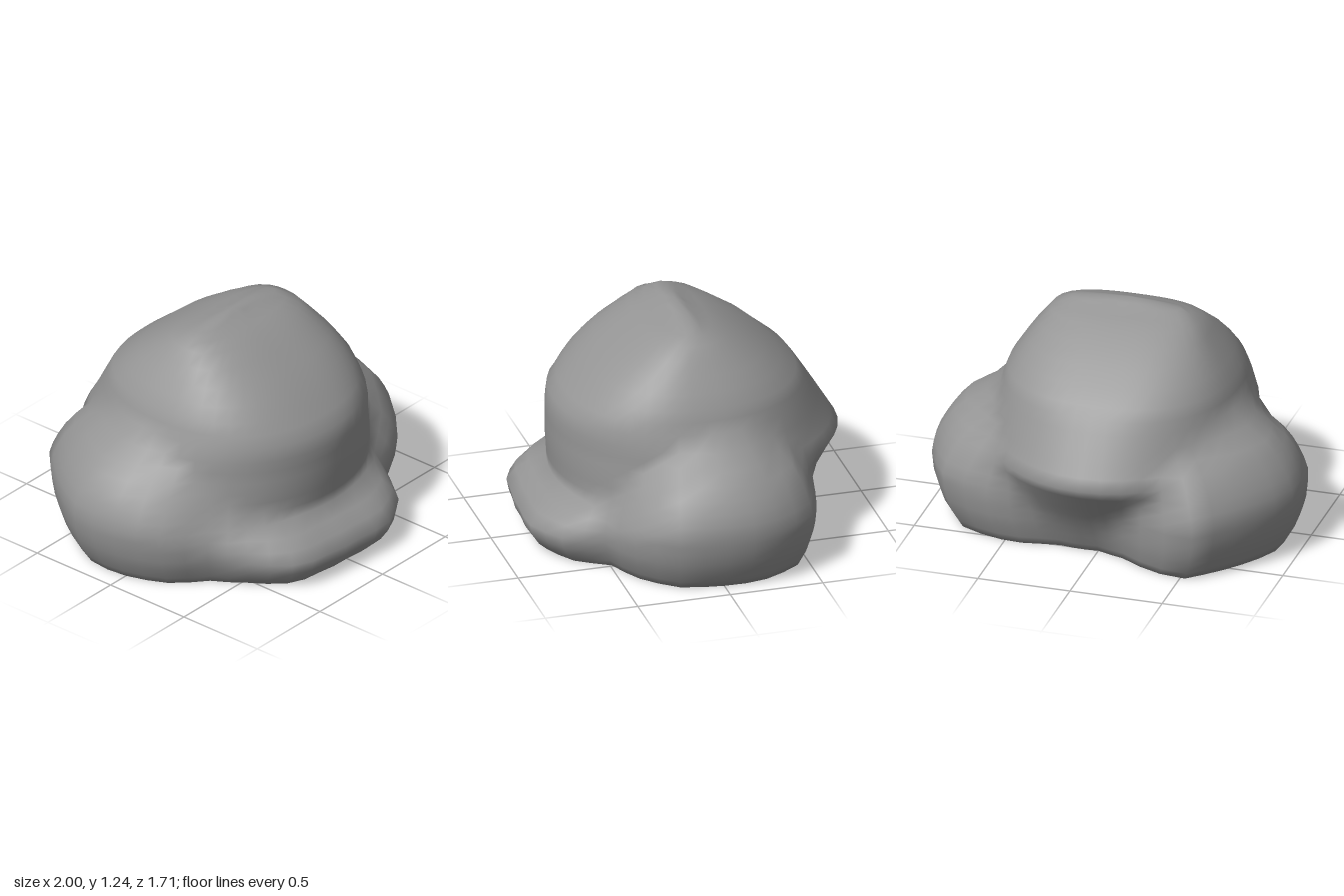
import * as THREE from 'three';

// Piecewise-linear lookup in a sorted list of [key, value, value...] rows
function lookup(rows, key, col = 1) {
  for (let i = 1; i < rows.length; i++) {
    const a = rows[i - 1], b = rows[i];
    if (key <= b[0]) return THREE.MathUtils.lerp(a[col], b[col], Math.max(0, (key - a[0]) / (b[0] - a[0])));
  }
  return rows[rows.length - 1][col];
}

// Main mound: height, half-width in x, reach to the front, reach to the back
const MOUND = [
  [0, 0.72, 0.6, 0.47], [0.25, 0.74, 0.66, 0.66], [0.5, 0.71, 0.68, 0.85],
  [0.68, 0.68, 0.68, 0.74], [0.76, 0.645, 0.665, 0.69], [0.87, 0.605, 0.57, 0.62], [0.94, 0.56, 0.5, 0.53],
  [1.04, 0.49, 0.38, 0.41], [1.15, 0.4, 0.21, 0.22], [1.205, 0.3, 0.06, 0.07], [1.23, 0.07, 0.02, 0.02],
];

// Lobes around the foot: angle from +x towards +z, outer radius, lobe height
const LOBES = [
  [0, 1.0, 0.7], [15, 0.98, 0.66], [30, 0.89, 0.56], [45, 0.77, 0.42], [60, 0.86, 0.34],
  [75, 0.885, 0.32], [90, 0.85, 0.32], [105, 0.86, 0.32], [117, 0.9, 0.33], [135, 0.83, 0.38],
  [150, 0.81, 0.5], [165, 0.92, 0.62], [180, 0.985, 0.68], [193, 1.025, 0.7], [210, 0.985, 0.7],
  [222, 0.965, 0.68], [234, 0.97, 0.65], [244, 0.8, 0.6], [255, 0.64, 0.5], [270, 0.55, 0.4],
  [295, 0.6, 0.5], [310, 0.78, 0.58], [330, 0.98, 0.65], [347, 1.02, 0.7], [360, 1.0, 0.7],
];

// Lobe cross-section: share of height, share of radius
const BULGE = [[0, 0.89], [0.15, 0.95], [0.3, 0.985], [0.5, 1], [0.62, 0.97], [0.75, 0.92], [0.88, 0.84],
  [1, 0.68], [1.3, 0.3], [1.6, 0]];

function radiusAt(deg, y) {
  const a = THREE.MathUtils.degToRad(deg);
  const c = Math.abs(Math.cos(a)), s = Math.abs(Math.sin(a));
  // The mound is oval at mid height and squarer towards the summit
  const power = 2 + 0.7 * THREE.MathUtils.smoothstep(y, 0.6, 1.1);
  const depth = lookup(MOUND, y, deg <= 180 ? 2 : 3);
  const mound = ((c / lookup(MOUND, y)) ** power + (s / depth) ** power) ** (-1 / power);
  const lobe = lookup(LOBES, deg) * lookup(BULGE, y / lookup(LOBES, deg, 2));
  // Soft blend where a lobe meets the mound
  const blend = Math.max(0.1 - Math.abs(mound - lobe), 0) / 0.1;
  return Math.max(mound, lobe) + blend * blend * 0.02;
}

const LEVELS = [0, 0.04, 0.1, 0.16, 0.22, 0.27, 0.32, 0.38, 0.44, 0.5, 0.56, 0.62, 0.68,
  0.76, 0.82, 0.88, 0.95, 1.02, 1.09, 1.15, 1.18, 1.205, 1.22];
const SEGMENTS = 48;

function ring(y) {
  return Array.from({ length: SEGMENTS }, (_, i) => {
    const deg = i * 360 / SEGMENTS, a = THREE.MathUtils.degToRad(deg);
    const r = radiusAt(deg, y);
    return [r * Math.cos(a), y, r * Math.sin(a)];
  });
}

export function createModel() {
  const group = new THREE.Group();
  group.name = 'boulder';

  // Lumpy stone skin: rings stacked upwards, closed at the summit and underneath
  const points = LEVELS.flatMap(ring);
  const top = points.push([-0.03, 1.235, 0]) - 1;
  const bottom = points.push([0, 0, 0.1]) - 1;
  const last = (LEVELS.length - 1) * SEGMENTS;
  const index = [];
  for (let i = 0; i < SEGMENTS; i++) {
    const j = (i + 1) % SEGMENTS;
    index.push(i, j, bottom, last + i, top, last + j);
    for (let l = 0; l < last; l += SEGMENTS) {
      const a = l + i, b = l + j;
      index.push(a, a + SEGMENTS, b, b, a + SEGMENTS, b + SEGMENTS);
    }
  }
  const geometry = new THREE.BufferGeometry();
  geometry.setAttribute('position', new THREE.Float32BufferAttribute(points.flat(), 3));
  geometry.setIndex(index);
  geometry.computeVertexNormals();

  const stone = new THREE.Mesh(geometry, new THREE.MeshStandardMaterial({ color: 0x959595 }));
  stone.name = 'stone';
  group.add(stone);
  return group;
}
